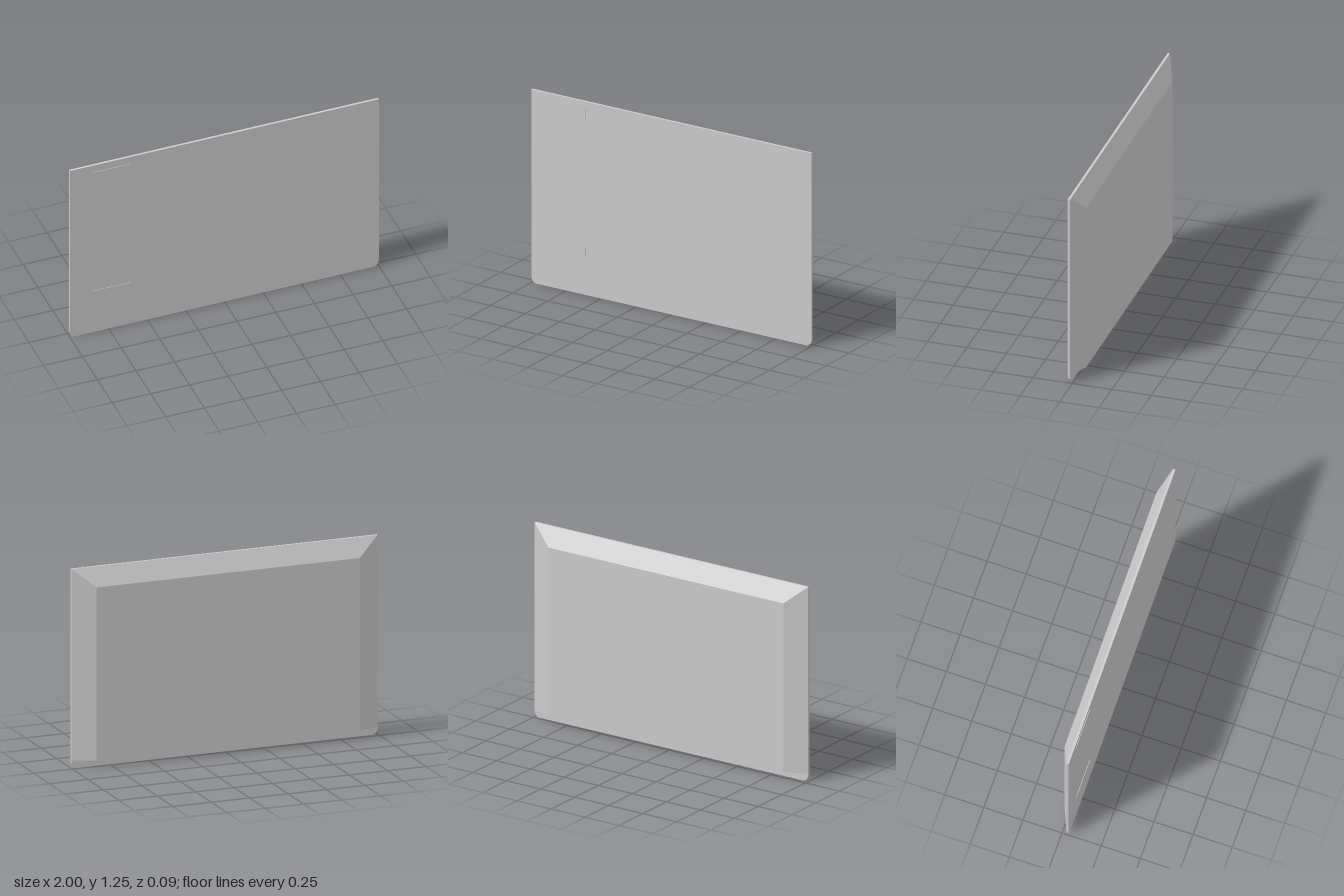
import * as THREE from 'three';

export function createModel() {
  const model = new THREE.Group();
  const panel = new THREE.Group();
  panel.name = 'panel';
  panel.rotation.y = 0.0065; // panel sits very slightly turned
  model.add(panel);

  const material = new THREE.MeshStandardMaterial({ color: 0xcccccc });
  const add = (name, geometry, x = 0, y = 0, z = 0) => {
    const mesh = new THREE.Mesh(geometry, material);
    mesh.name = name;
    mesh.position.set(x, y, z);
    panel.add(mesh);
  };

  const height = 1.25, frontZ = 0.036, slabBackZ = 0.021, backZ = -0.038;

  // Thin front slab: square top corners, rounded bottom corners
  const r = 0.04;
  const outline = new THREE.Shape();
  outline.moveTo(-1, height);
  outline.lineTo(-1, r);
  outline.absarc(-1 + r, r, r, Math.PI, Math.PI * 1.5, false);
  outline.absarc(1 - r, r, r, Math.PI * 1.5, Math.PI * 2, false);
  outline.lineTo(1, height);
  outline.closePath();
  add('frontSlab', new THREE.ExtrudeGeometry(outline, {
    depth: frontZ - slabBackZ, bevelEnabled: false, curveSegments: 8,
  }), 0, 0, slabBackZ);

  // Rear housing: flat underside, sides and top slope in towards the back
  const bottom = 0.05, depth = slabBackZ - backZ;
  const housing = new THREE.BoxGeometry(2, height - bottom, depth);
  housing.translate(0, (height + bottom) / 2, (slabBackZ + backZ) / 2);
  const p = housing.attributes.position;
  for (let i = 0; i < p.count; i++) {
    if (p.getZ(i) > 0) continue;
    p.setX(i, p.getX(i) * 0.86);
    if (p.getY(i) > 1) p.setY(i, height - 0.115);
  }
  housing.computeVertexNormals();
  add('rearHousing', housing);

  // Shallow pads on the front face
  for (const y of [0.28, 1.17]) {
    add('frontPad', new THREE.BoxGeometry(0.24, 0.06, 0.008), -0.73, y, frontZ - 0.001);
  }
  return model;
}
